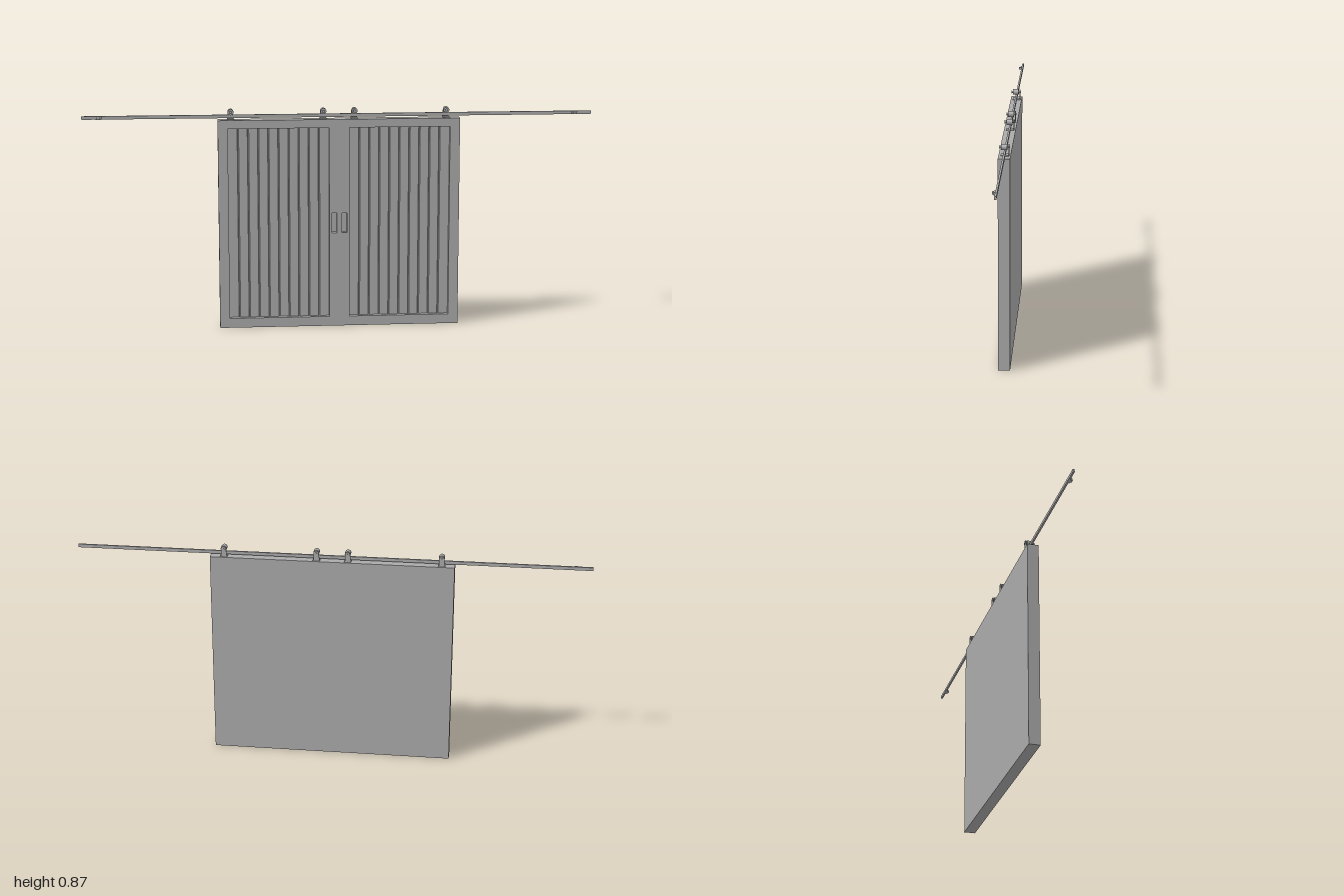
import * as THREE from 'three';

const grey = new THREE.MeshStandardMaterial({ color: 0xaaaaaa });
grey.name = 'grey';

function add(parent, name, geometry, x = 0, y = 0, z = 0) {
  const mesh = new THREE.Mesh(geometry, grey);
  mesh.name = name;
  mesh.position.set(x, y, z);
  parent.add(mesh);
  return mesh;
}

const box = (w, h, d) => new THREE.BoxGeometry(w, h, d);

function rectangle(Type, x0, x1, y0, y1) {
  const r = new Type();
  r.moveTo(x0, y0);
  r.lineTo(x1, y0);
  r.lineTo(x1, y1);
  r.lineTo(x0, y1);
  r.closePath();
  return r;
}

const WIDTH = 0.95, HEIGHT = 0.83, HALF_DEPTH = 0.0225;
const PANEL = { x0: 0.04, x1: 0.436, y0: 0.038, y1: 0.797 };

// Vertical boards with V grooves, extruded upwards from a plan profile
function boardGeometry(boards = 10) {
  const w = PANEL.x1 - PANEL.x0, step = w / boards, g = 0.003, t = 0.004;
  const plan = new THREE.Shape();
  plan.moveTo(0, 0);
  plan.lineTo(0, -t);
  for (let i = 1; i < boards; i++) {
    plan.lineTo(i * step - g, -t);
    plan.lineTo(i * step, -t + 0.003);
    plan.lineTo(i * step + g, -t);
  }
  plan.lineTo(w, -t);
  plan.lineTo(w, 0);
  const geo = new THREE.ExtrudeGeometry(plan, { depth: PANEL.y1 - PANEL.y0, bevelEnabled: false });
  geo.rotateX(-Math.PI / 2);
  return geo;
}

function createDoors() {
  const doors = new THREE.Group();
  doors.name = 'doors';
  // Front frame with panel openings and recessed finger pulls
  const face = rectangle(THREE.Shape, -WIDTH / 2, WIDTH / 2, 0, HEIGHT);
  for (const s of [-1, 1]) {
    face.holes.push(rectangle(THREE.Path, s * PANEL.x0, s * PANEL.x1, PANEL.y0, PANEL.y1));
    face.holes.push(rectangle(THREE.Path, s * 0.0105, s * 0.03, 0.378, 0.457));
  }
  add(doors, 'doorFrame', new THREE.ExtrudeGeometry(face, { depth: HALF_DEPTH, bevelEnabled: false }));
  add(doors, 'doorBack', box(WIDTH, HEIGHT, HALF_DEPTH), 0, HEIGHT / 2, -HALF_DEPTH / 2);
  const boards = boardGeometry();
  add(doors, 'rightBoards', boards, -PANEL.x1, PANEL.y0, 0);
  add(doors, 'leftBoards', boards, PANEL.x0, PANEL.y0, 0);
  return doors;
}

// Hanger: foot on the door, rear strap, wheel on the rail and axle bolt
function createHanger(x) {
  const hanger = new THREE.Group();
  hanger.name = 'rollerHanger';
  hanger.position.set(x, HEIGHT, 0);
  add(hanger, 'foot', box(0.028, 0.003, 0.031), 0, 0.0015, -0.0015);
  const strap = new THREE.Shape();
  strap.moveTo(-0.014, 0);
  strap.lineTo(0.014, 0);
  strap.lineTo(0.01, 0.006);
  strap.lineTo(0.01, 0.032);
  strap.absarc(0, 0.032, 0.01, 0, Math.PI, false);
  strap.closePath();
  add(hanger, 'strap', new THREE.ExtrudeGeometry(strap, { depth: 0.003, bevelEnabled: false, curveSegments: 12 }), 0, 0, -0.017);
  const disc = (name, r, z0, z1) => {
    const geo = new THREE.CylinderGeometry(r, r, z1 - z0, 24).rotateX(Math.PI / 2);
    add(hanger, name, geo, 0, 0.031, (z0 + z1) / 2);
  };
  disc('wheel', 0.0115, -0.01, 0.013);
  disc('axle', 0.004, -0.019, 0.017);
  disc('boltHead', 0.006, 0.017, 0.02);
  return hanger;
}

export function createModel() {
  const model = new THREE.Group();
  model.name = 'slidingBarnDoors';
  model.add(createDoors());
  // Rail with an end stop near each tip
  add(model, 'rail', box(2, 0.013, 0.007), 0, 0.8435, -0.0015);
  for (const s of [-1, 1]) {
    const stop = new THREE.Group();
    stop.name = 'railStop';
    add(stop, 'stopPlate', box(0.024, 0.011, 0.005), s * 0.935, 0.8425, 0.0045);
    add(stop, 'stopBumper', box(0.012, 0.009, 0.006), s * 0.935, 0.8425, 0.01);
    model.add(stop);
  }
  for (const x of [-0.424, -0.062, 0.06, 0.422]) model.add(createHanger(x));
  return model;
}
